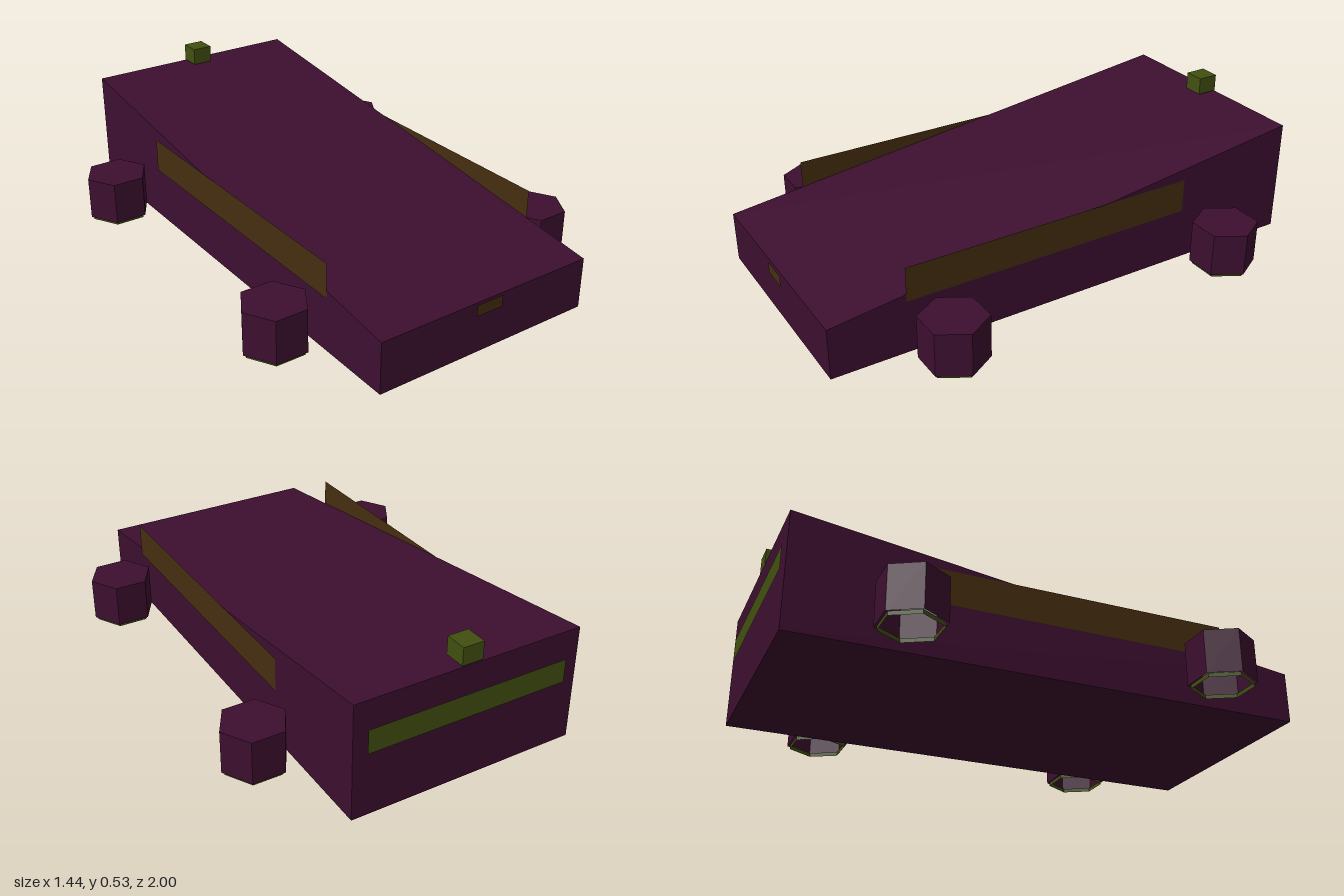
import * as THREE from 'three';

const paint = (color, side = THREE.FrontSide) =>
  new THREE.MeshStandardMaterial({ color, side, flatShading: true });

export function createModel() {
  const model = new THREE.Group();
  model.name = 'hoverCar';

  const purple = paint(0x3d0f30);
  const purpleOpen = paint(0x3d0f30, THREE.DoubleSide);
  const olive = paint(0x425010, THREE.DoubleSide);
  const brown = paint(0x462e10, THREE.DoubleSide);

  const add = (name, geometry, material, x, y, z) => {
    const mesh = new THREE.Mesh(geometry, material);
    mesh.name = name;
    mesh.position.set(x, y, z);
    model.add(mesh);
    return mesh;
  };

  // Wedge body: a box whose top edge is low at the front and high at the back
  const bodyGeometry = new THREE.BoxGeometry(0.906, 1, 1.985);
  const pos = bodyGeometry.attributes.position;
  for (let i = 0; i < pos.count; i++) {
    const top = pos.getZ(i) > 0 ? 0.2 : 0.453;
    pos.setY(i, pos.getY(i) > 0 ? top : 0);
  }
  bodyGeometry.computeVertexNormals();
  add('body', bodyGeometry, purple, 0, 0, 0);

  // Thin panels on the sides, nose and tail
  for (const side of [1, -1]) {
    const panel = add(side > 0 ? 'leftWindow' : 'rightWindow',
      new THREE.PlaneGeometry(1.195, 0.135), brown, side * 0.456, 0.278, 0.102);
    panel.rotation.y = side * Math.PI / 2;
  }
  add('nosePlate', new THREE.PlaneGeometry(0.115, 0.045), brown, 0, 0.173, 1);
  add('tailLight', new THREE.PlaneGeometry(0.8, 0.093), olive, 0, 0.298, -1)
    .rotation.y = Math.PI;

  // Small block on the rear of the roof
  add('roofBlock', new THREE.BoxGeometry(0.083, 0.07, 0.085), olive, 0, 0.491, -0.948);

  // Hexagonal hover pods: open below, capped on top, with a thin glow rim
  const turn = Math.PI / 2;
  const podWall = new THREE.CylinderGeometry(0.126, 0.126, 0.17, 6, 1, true).rotateY(turn);
  const podCap = new THREE.CircleGeometry(0.126, 6).rotateX(-Math.PI / 2);
  const podRim = new THREE.CylinderGeometry(0.115, 0.115, 0.016, 6, 1, true).rotateY(turn);
  for (const x of [0.596, -0.596]) {
    for (const z of [0.595, -0.595]) {
      const label = (z > 0 ? 'front' : 'rear') + (x > 0 ? 'Left' : 'Right');
      add(label + 'Pod', podWall, purpleOpen, x, 0.115, z);
      add(label + 'PodCap', podCap, purpleOpen, x, 0.2, z);
      add(label + 'PodRim', podRim, olive, x, 0.025, z);
    }
  }

  return model;
}
